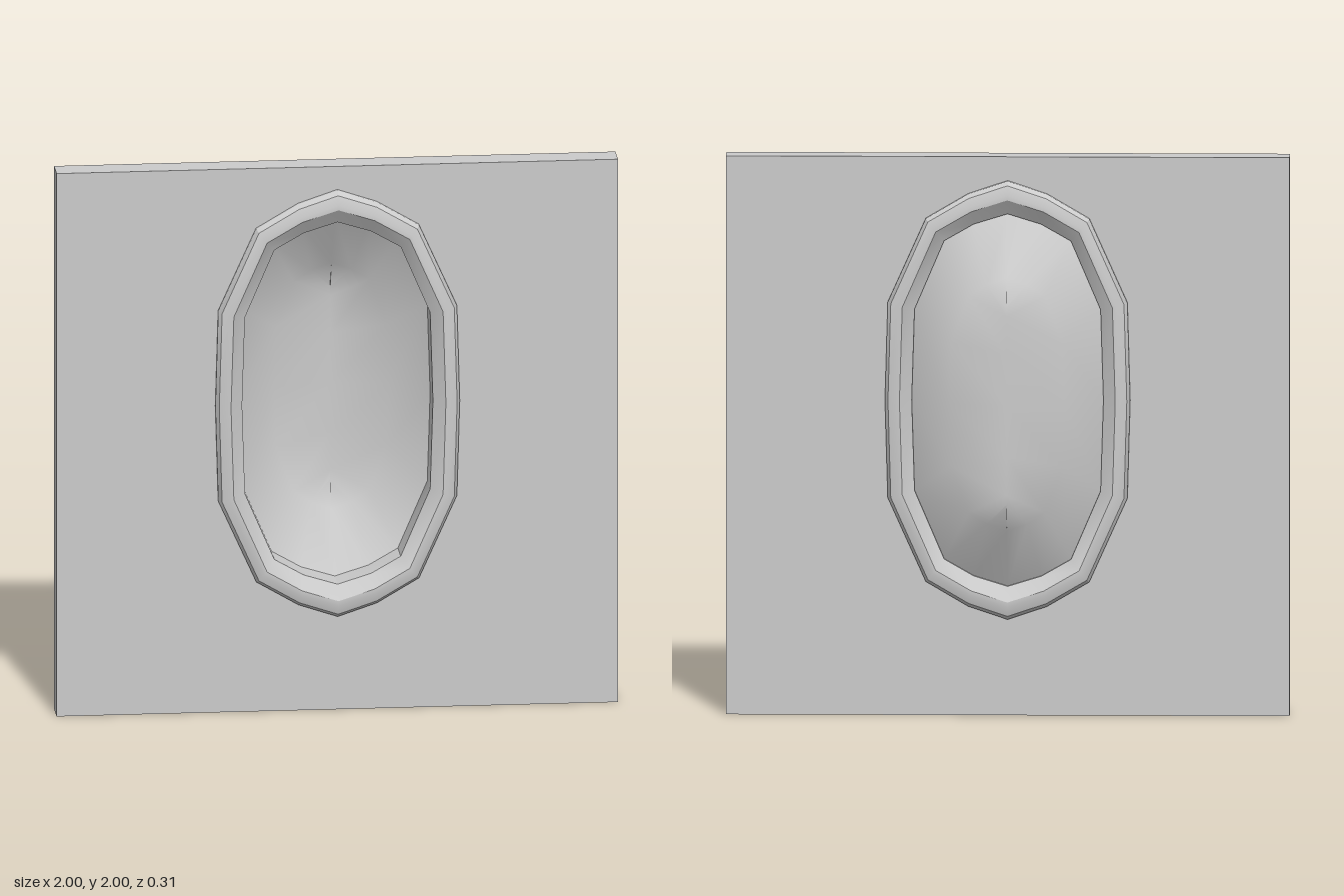
import * as THREE from 'three';
import { toCreasedNormals } from 'three/addons/utils/BufferGeometryUtils.js';

const CENTRE_Y = 1.13;

// Mirrors a quarter outline (side to top) into a closed counterclockwise loop of 16 points.
function oval(quarter) {
  const half = [...quarter, ...quarter.slice(0, -1).reverse().map(([x, y]) => [-x, y])];
  return [...half, ...half.slice(1, -1).reverse().map(([x, y]) => [x, -y])];
}

const outer = oval([[0.435, 0], [0.425, 0.35], [0.29, 0.65], [0.14, 0.738], [0, 0.785]]);
const inner = oval([[0.34, 0], [0.33, 0.325], [0.225, 0.57], [0.12, 0.63], [0, 0.667]]);

// Outline a fraction t of the way from the outer to the inner oval.
const between = (t) => outer.map(([x, y], i) => [x + (inner[i][0] - x) * t, y + (inner[i][1] - y) * t]);

// Skins a list of loops of equal length; closed joins the last loop to the first.
function loft(loops, closed, crease) {
  const n = loops[0].length;
  const index = [];
  for (let j = 0; j < loops.length - (closed ? 0 : 1); j++) {
    const k = (j + 1) % loops.length;
    for (let i = 0; i < n; i++) {
      const m = (i + 1) % n;
      index.push(j * n + i, j * n + m, k * n + i, j * n + m, k * n + m, k * n + i);
    }
  }
  const geometry = new THREE.BufferGeometry();
  geometry.setAttribute('position', new THREE.Float32BufferAttribute(loops.flat(2), 3));
  geometry.setIndex(index);
  return toCreasedNormals(geometry, crease);
}

export function createModel() {
  const group = new THREE.Group();
  const material = new THREE.MeshStandardMaterial({ color: 0xcccccc });
  const add = (name, geometry, mat = material) => {
    const mesh = new THREE.Mesh(geometry, mat);
    mesh.name = name;
    group.add(mesh);
    return mesh;
  };

  // Square wall panel with an oval opening hidden under the frame
  const shape = new THREE.Shape([[-1, 0], [1, 0], [1, 2], [-1, 2]].map(([x, y]) => new THREE.Vector2(x, y)));
  shape.holes.push(new THREE.Path(between(0.5).map(([x, y]) => new THREE.Vector2(x, y + CENTRE_Y))));
  const panel = new THREE.ExtrudeGeometry(shape, { depth: 0.1, bevelEnabled: false });
  add('wallPanel', panel).position.z = 0.012;

  // Rounded frame: [fraction towards the inside, height above the middle plane]
  const front = [[0, 0.065], [0.12, 0.085], [0.4, 0.095], [0.55, 0.095], [1, 0.06]];
  const profile = [...front, ...front.map(([t, z]) => [t, -z]).reverse()];
  const frameLoops = profile.map(([t, z]) => between(t).map(([x, y]) => [x, y, z + 0.06]));
  add('ovalFrame', loft(frameLoops, true, 0.5)).position.y = CENTRE_Y;

  // Recessed dish narrowing to a vertical ridge: [x scale, y scale, z]
  const steps = [[1, 1, 0.012], [0.6, 0.68, -0.11], [0, 0.562, -0.155]];
  const dishLoops = steps.map(([sx, sy, z]) => inner.map(([x, y]) => [x * sx, y * sy, z]));
  const thin = new THREE.MeshStandardMaterial({ color: 0xcccccc, side: THREE.DoubleSide });
  add('recessedDish', loft(dishLoops, false, 1), thin).position.y = CENTRE_Y;

  return group;
}
